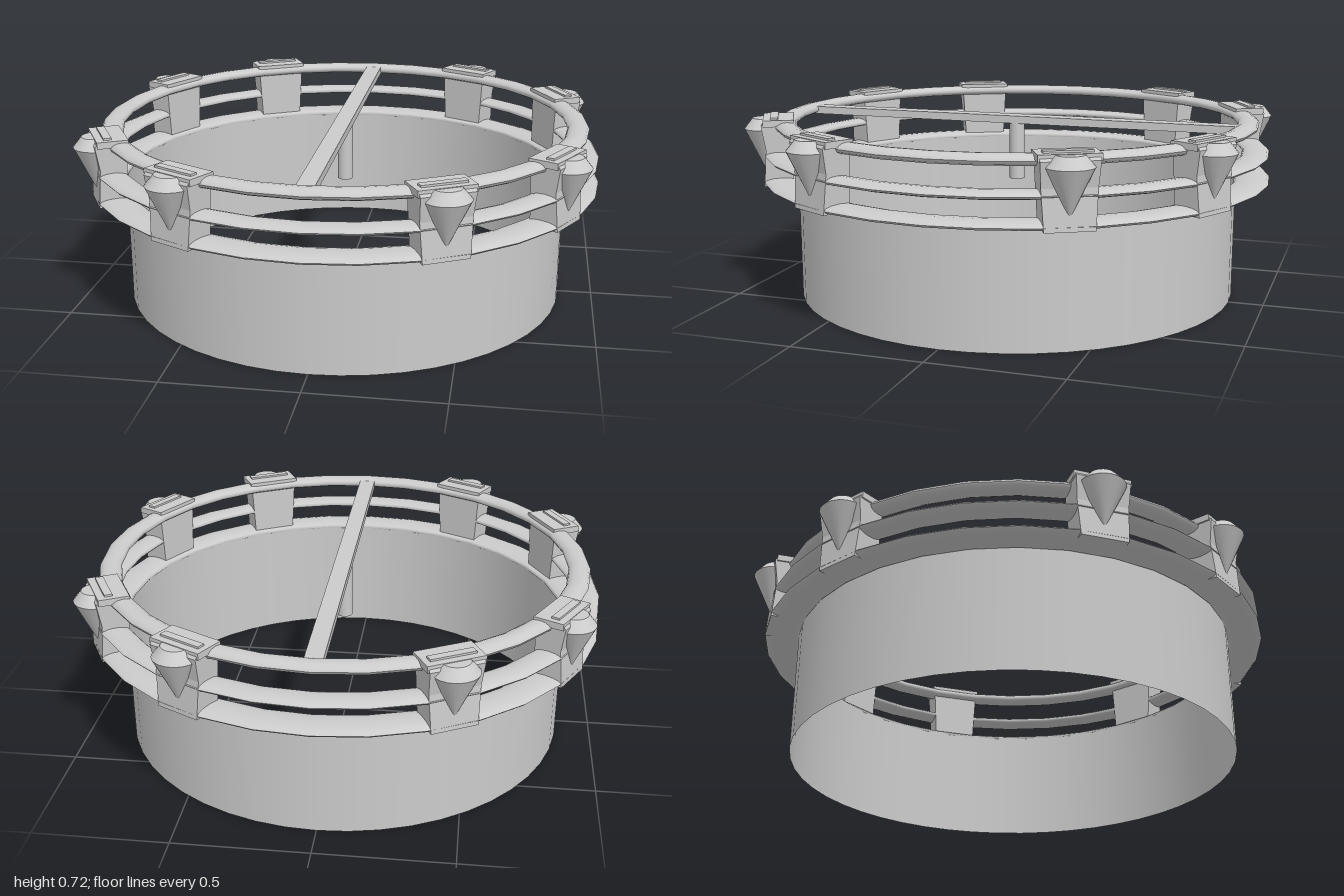
import * as THREE from 'three';

const grey = new THREE.MeshStandardMaterial({ color: 0xcccccc });
const greyDouble = new THREE.MeshStandardMaterial({ color: 0xcccccc, side: THREE.DoubleSide });

function add(parent, name, geometry, material = grey) {
  const mesh = new THREE.Mesh(geometry, material);
  mesh.name = name;
  parent.add(mesh);
  return mesh;
}

// Hoop with a flattened oval section
function hoop(parent, name, radius, y, halfWidth, halfHeight) {
  const points = [];
  for (let i = 0; i <= 12; i++) {
    const a = (i / 12) * Math.PI * 2;
    points.push(new THREE.Vector2(radius + Math.cos(a) * halfWidth, y + Math.sin(a) * halfHeight));
  }
  add(parent, name, new THREE.LatheGeometry(points, 32));
}

// Clamp facing +z, placed around the rim by rotating its group
function clamp(angle) {
  const group = new THREE.Group();
  group.name = 'clamp';

  // Side profile (radius, height) extruded across the width, wider at the top
  const shape = new THREE.Shape([
    [0.885, 0.46], [0.995, 0.455], [0.985, 0.6], [1.0, 0.69],
    [0.985, 0.71], [0.885, 0.705],
  ].map(([r, y]) => new THREE.Vector2(r, y)));
  const body = new THREE.ExtrudeGeometry(shape, { depth: 1, bevelEnabled: false });
  body.translate(0, 0, -0.5);
  body.rotateY(-Math.PI / 2);
  const p = body.attributes.position;
  for (let i = 0; i < p.count; i++) {
    const t = (p.getY(i) - 0.455) / 0.255;
    p.setX(i, p.getX(i) * (0.175 + 0.03 * t));
  }
  body.computeVertexNormals();
  add(group, 'clampBody', body);

  // Cap hooked over the top hoop, with a raised ridge
  add(group, 'clampCap', new THREE.BoxGeometry(0.215, 0.025, 0.115)).position.set(0, 0.7, 0.935);
  add(group, 'clampRidge', new THREE.BoxGeometry(0.17, 0.014, 0.03)).position.set(0, 0.713, 0.95);

  // Pointed half cone on the outer face, tip down, with a sloping lid
  const cone = new THREE.CylinderGeometry(1, 0.02, 0.17, 12, 1, true, -Math.PI / 2, Math.PI);
  cone.scale(0.085, 1, 0.08);
  add(group, 'spoutCone', cone, greyDouble).position.set(0, 0.585, 0.985);
  const lid = new THREE.CylinderGeometry(0.6, 1, 0.04, 12, 1, false, -Math.PI / 2, Math.PI);
  lid.scale(0.085, 1, 0.08);
  add(group, 'spoutLid', lid, greyDouble).position.set(0, 0.69, 0.985);

  group.rotation.y = angle;
  return group;
}

export function createModel() {
  const model = new THREE.Group();
  model.name = 'ringBasin';

  // Open round wall
  const wall = new THREE.CylinderGeometry(0.867, 0.867, 0.47, 48, 1, true);
  add(model, 'wall', wall, greyDouble).position.y = 0.235;

  // Three stacked hoops
  hoop(model, 'bottomHoop', 0.932, 0.471, 0.067, 0.017);
  hoop(model, 'middleHoop', 0.942, 0.573, 0.052, 0.016);
  hoop(model, 'topHoop', 0.91, 0.683, 0.042, 0.021);

  // Clamps in pairs around each quarter
  for (let i = 0; i < 4; i++) {
    for (const side of [-1, 1]) {
      model.add(clamp(i * Math.PI / 2 + side * THREE.MathUtils.degToRad(28.3)));
    }
  }

  // Cross bar with a hanging post at its centre
  add(model, 'crossBar', new THREE.BoxGeometry(0.066, 0.03, 1.76)).position.y = 0.68;
  add(model, 'centrePost', new THREE.CylinderGeometry(0.03, 0.03, 0.23, 16)).position.y = 0.555;

  return model;
}
